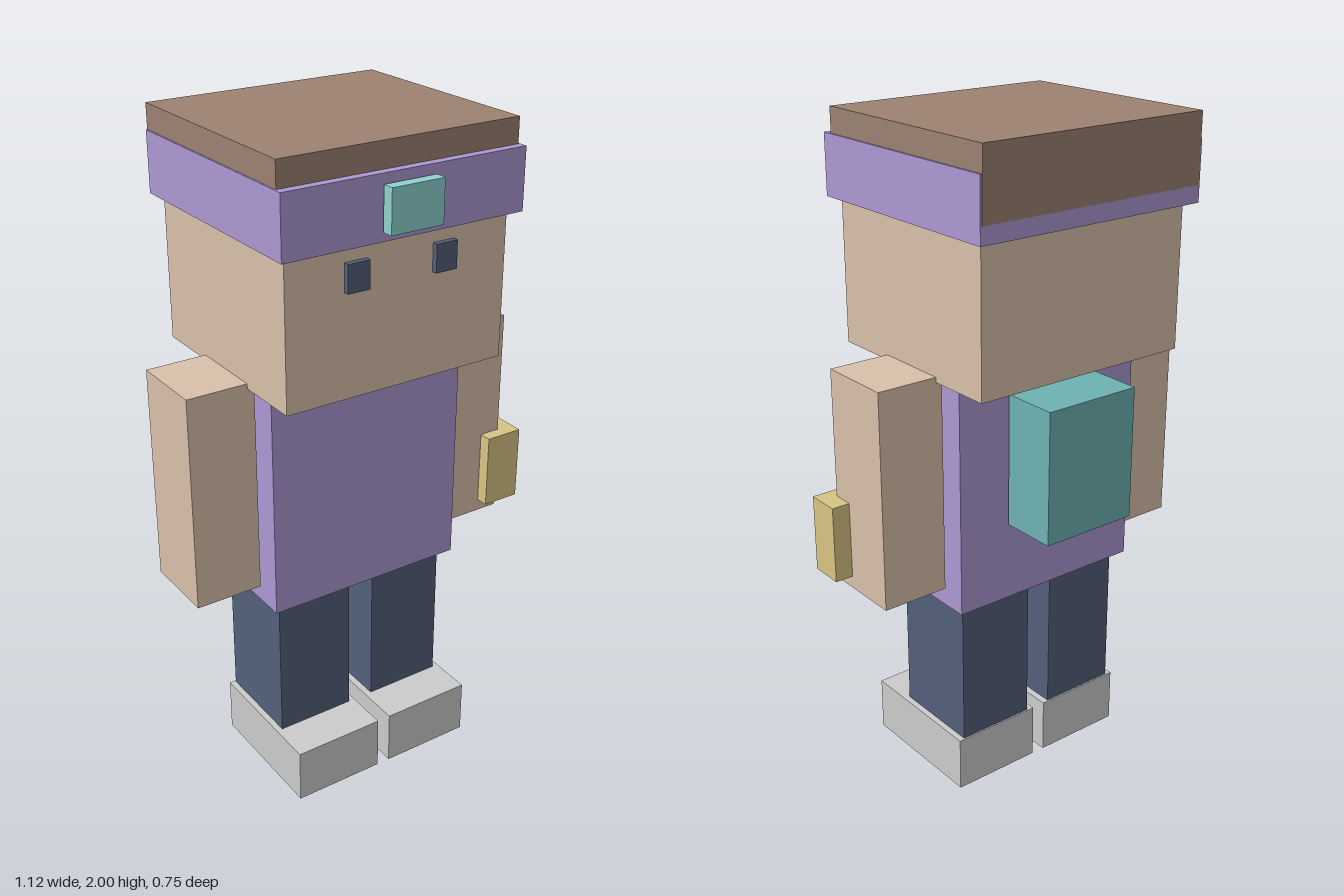
import * as THREE from 'three';

const COLORS = {
  skin: 0xd8c0aa, cloth: 0xac98d2, denim: 0x52607a, shoe: 0xd4d8d8,
  hair: 0x9c8272, gem: 0x8ed2d0, pack: 0x6eb2b2, gold: 0xd8c484,
};

export function createModel() {
  const model = new THREE.Group();
  model.name = 'blockFigure';
  const materials = {};
  for (const key in COLORS) {
    materials[key] = new THREE.MeshStandardMaterial({ color: COLORS[key] });
  }

  // Box spanning the given [min, max] ranges
  const block = (name, color, [x0, x1], [y0, y1], [z0, z1]) => {
    const mesh = new THREE.Mesh(
      new THREE.BoxGeometry(x1 - x0, y1 - y0, z1 - z0), materials[color]);
    mesh.position.set((x0 + x1) / 2, (y0 + y1) / 2, (z0 + z1) / 2);
    mesh.name = name;
    model.add(mesh);
  };

  // The body's middle plane sits slightly to the right of centre
  const MID = -0.029;
  const pair = (name, color, [inner, outer], y, z) => {
    block('left' + name, color, [MID + inner, MID + outer], y, z);
    block('right' + name, color, [MID - outer, MID - inner], y, z);
  };

  // Torso and limbs
  block('torso', 'cloth', [-0.345, 0.288], [0.625, 1.325], [-0.19, 0.165]);
  pair('Arm', 'skin', [0.33, 0.535], [0.69, 1.34], [-0.13, 0.102]);
  pair('Leg', 'denim', [0.042, 0.288], [0.17, 0.625], [-0.155, 0.132]);
  pair('Shoe', 'shoe', [0.021, 0.307], [0, 0.17], [-0.16, 0.264]);

  // Head and face
  block('head', 'skin', [-0.38, 0.32], [1.325, 1.85], [-0.33, 0.303]);
  pair('Eye', 'denim', [0.105, 0.173], [1.625, 1.705], [0.29, 0.32]);

  // Hair and headband
  block('hair', 'hair', [-0.4, 0.342], [1.8, 2], [-0.367, 0.309]);
  block('headband', 'cloth', [-0.405, 0.348], [1.75, 1.927], [-0.365, 0.335]);
  block('headbandPlate', 'gem', [-0.11, 0.053], [1.777, 1.9], [0.34, 0.375]);

  // Carried items
  block('backpack', 'pack', [-0.183, 0.125], [0.868, 1.266], [-0.374, -0.2]);
  block('handheldItem', 'gold', [0.44, 0.561], [0.727, 0.958], [0.038, 0.141]);

  return model;
}
